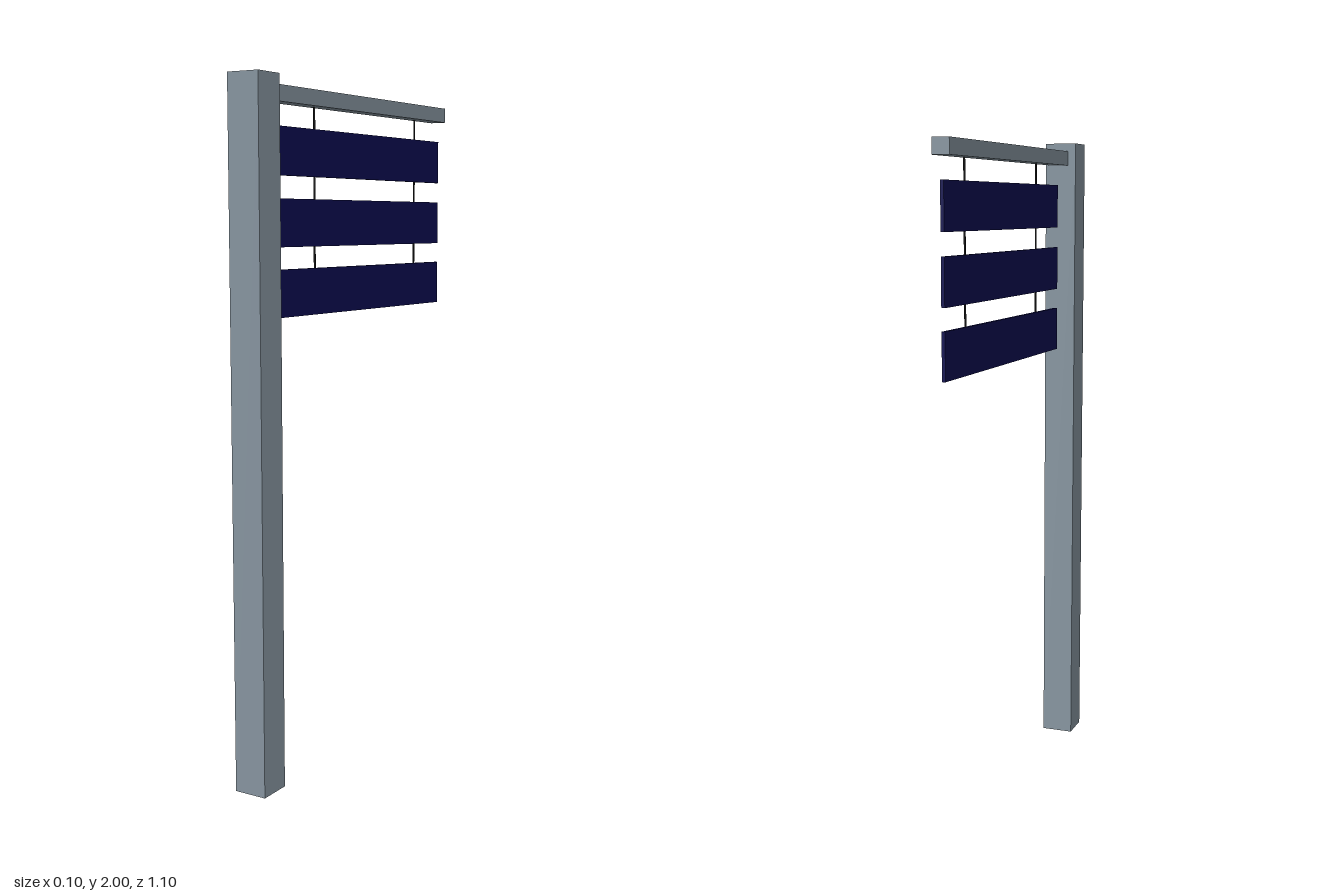
import * as THREE from 'three';

const material = (name, color) => {
  const m = new THREE.MeshStandardMaterial({ color });
  m.name = name;
  return m;
};

export function createModel() {
  const steel = material('steel grey', 0x8795a0);
  const navy = material('navy blue', 0x0c0c52);
  const black = material('black', 0x141414);

  const model = new THREE.Group();
  model.name = 'signPost';

  const add = (name, geometry, mat, y, z) => {
    const mesh = new THREE.Mesh(geometry, mat);
    mesh.name = name;
    mesh.position.set(0, y, z);
    model.add(mesh);
  };

  // Upright post and the arm reaching back from its top
  add('post', new THREE.BoxGeometry(0.1, 2, 0.1), steel, 1, 0.498);
  add('arm', new THREE.BoxGeometry(0.05, 0.045, 0.996), steel, 1.953, -0.05);

  // Three hanging boards
  const boardHeight = 0.134;
  const boardCentres = [1.801, 1.604, 1.408];
  for (const y of boardCentres) {
    add('board', new THREE.BoxGeometry(0.01, boardHeight, 0.945), navy, y, -0.068);
  }

  // Short hanger wires from the arm to the first board and between boards
  const bottoms = [1.931, ...boardCentres.map((y) => y - boardHeight / 2)];
  boardCentres.forEach((y, i) => {
    const lower = y + boardHeight / 2;
    const length = bottoms[i] - lower;
    for (const z of [0.203, -0.385]) {
      add('hangerWire', new THREE.CylinderGeometry(0.003, 0.003, length, 8), black, lower + length / 2, z);
    }
  });

  return model;
}
